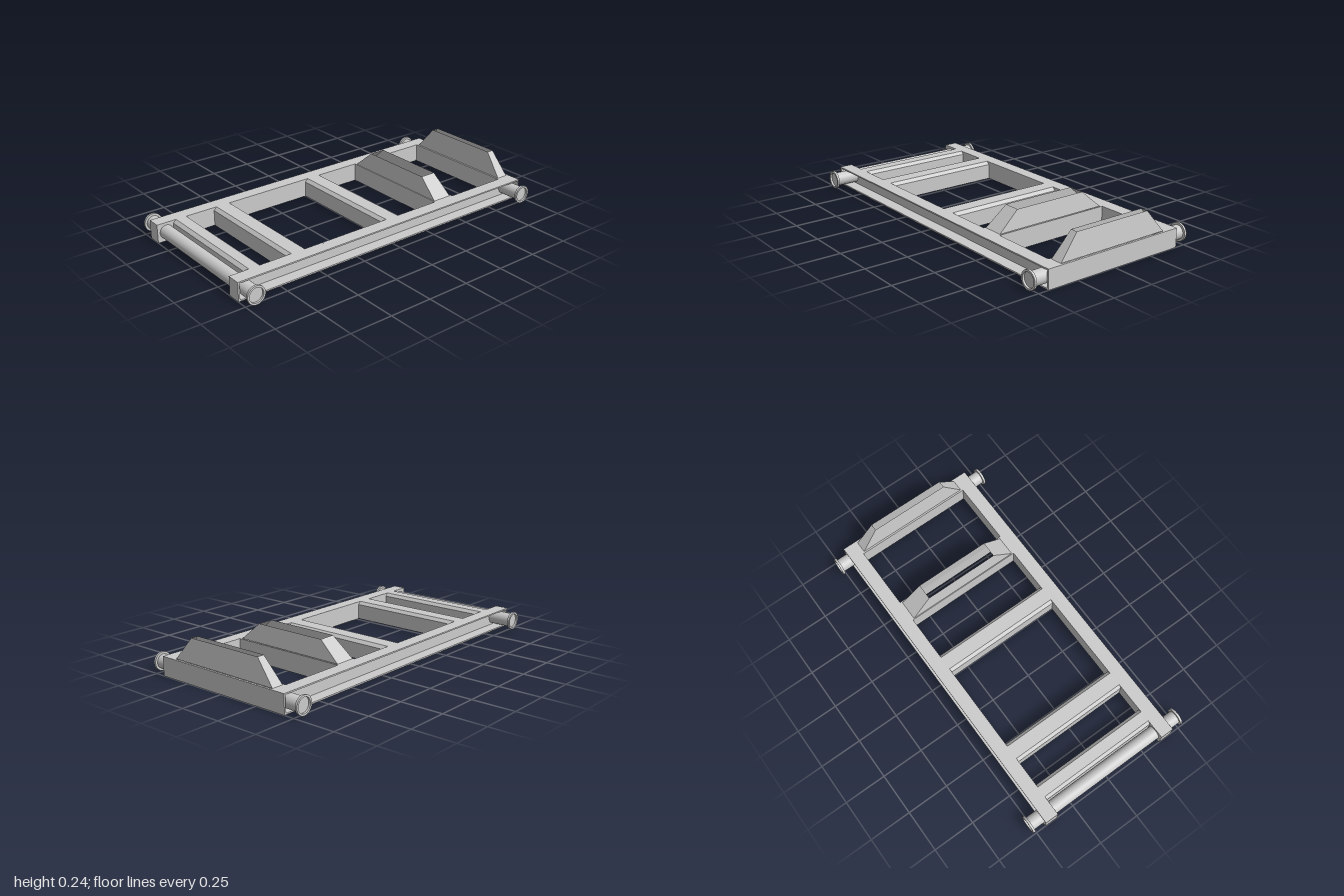
import * as THREE from 'three';

const material = new THREE.MeshStandardMaterial({ color: 0xcccccc, side: THREE.DoubleSide });
const sheetMaterial = new THREE.MeshStandardMaterial({ color: 0xcccccc, side: THREE.DoubleSide, flatShading: true });
const H = 0.11; // frame height

export function createModel() {
  const model = new THREE.Group();

  const add = (name, geometry, x = 0, y = 0, z = 0, mat = material) => {
    const mesh = new THREE.Mesh(geometry, mat);
    mesh.name = name;
    mesh.position.set(x, y, z);
    model.add(mesh);
    return mesh;
  };
  const box = (name, w, h, d, x, y, z) => add(name, new THREE.BoxGeometry(w, h, d), x, y, z);

  // Side rails: channels open to the outside, closed by end plates
  for (const [side, s] of [['left', 1], ['right', -1]]) {
    box(side + 'RailWeb', 0.01, H, 2, s * 0.365, H / 2, 0);
    box(side + 'RailTopFlange', 0.08, 0.008, 2, s * 0.4, H - 0.004, 0);
    box(side + 'RailBottomFlange', 0.08, 0.008, 2, s * 0.4, 0.004, 0);
    for (const e of [1, -1]) box(side + 'RailEndPlate', 0.08, H, 0.01, s * 0.4, H / 2, e * 0.995);
  }

  // Folded cross members: chamfered channels open at the bottom
  const crossMember = (name, z0, z1) => {
    const hw = (z1 - z0) / 2, c = 0.018, t = 0.007;
    const outer = [[-hw, 0], [-hw, H - c], [-hw + c, H], [hw - c, H], [hw, H - c], [hw, 0]];
    const inner = [[hw - t, 0], [hw - t, H - c - t / 2], [hw - c - t / 2, H - t],
      [-hw + c + t / 2, H - t], [-hw + t, H - c - t / 2], [-hw + t, 0]];
    const shape = new THREE.Shape([...outer, ...inner].map(p => new THREE.Vector2(...p)));
    const geometry = new THREE.ExtrudeGeometry(shape, { depth: 0.72, bevelEnabled: false });
    geometry.translate(0, 0, -0.36).rotateY(Math.PI / 2);
    add(name, geometry, 0, 0, (z0 + z1) / 2);
  };
  crossMember('middleCrossMember', -0.12, 0);
  crossMember('forwardCrossMember', 0.52, 0.64);
  crossMember('frontCrossMember', 0.8, 0.9);

  // Open box beams carrying the raised supports
  const rectangle = (P, hx, hz) => new P([[-hx, -hz], [hx, -hz], [hx, hz], [-hx, hz]]
    .map(p => new THREE.Vector2(...p)));
  const openBeam = (name, z0, z1, hx, hz) => {
    const shape = rectangle(THREE.Shape, 0.36, (z1 - z0) / 2);
    shape.holes.push(rectangle(THREE.Path, hx, hz));
    const geometry = new THREE.ExtrudeGeometry(shape, { depth: H, bevelEnabled: false });
    geometry.rotateX(-Math.PI / 2);
    add(name, geometry, 0, 0, (z0 + z1) / 2);
  };
  openBeam('rearBeam', -1, -0.905, 0.35, 0.035);
  openBeam('supportBeam', -0.52, -0.385, 0.35, 0.06);

  // Raised supports: tapered sleeves without top or bottom
  const sleeve = (name, z, base, top, height) => {
    const positions = [], indices = [];
    for (const [[hx, hz], y] of [[base, H], [top, height]]) {
      for (const [sx, sz] of [[-1, 1], [1, 1], [1, -1], [-1, -1]]) positions.push(sx * hx, y, sz * hz);
    }
    for (let i = 0; i < 4; i++) {
      const j = (i + 1) % 4;
      indices.push(i, j, j + 4, i, j + 4, i + 4);
    }
    let geometry = new THREE.BufferGeometry();
    geometry.setAttribute('position', new THREE.Float32BufferAttribute(positions, 3));
    geometry.setIndex(indices);
    geometry = geometry.toNonIndexed();
    geometry.computeVertexNormals();
    add(name, geometry, 0, 0, z, sheetMaterial);
  };
  sleeve('rearSupport', -0.95, [0.35, 0.035], [0.24, 0.021], 0.243);
  sleeve('middleSupport', -0.45, [0.35, 0.06], [0.226, 0.048], 0.217);

  // Front roller between the rails
  const roller = new THREE.CylinderGeometry(0.04, 0.04, 0.88, 32).rotateZ(Math.PI / 2);
  add('frontRoller', roller, 0, 0.055, 0.945);

  // Flanged bosses with a shallow recess at the four corners
  const flat = (points) => new THREE.LatheGeometry(points.map(p => new THREE.Vector2(...p)), 32);
  for (const s of [1, -1]) for (const z of [0.945, -0.945]) {
    const boss = new THREE.Group();
    boss.name = 'cornerBoss';
    const surfaces = [
      [[0.04, 0.36], [0.04, 0.507]],
      [[0.04, 0.507], [0.053, 0.507]],
      [[0.053, 0.507], [0.053, 0.52]],
      [[0.053, 0.52], [0.042, 0.52]],
      [[0.042, 0.52], [0.042, 0.508]],
      [[0.042, 0.508], [0, 0.508]],
    ];
    for (const points of surfaces) {
      const mesh = new THREE.Mesh(flat(points), material);
      mesh.name = 'bossSurface';
      boss.add(mesh);
    }
    boss.rotation.z = -s * Math.PI / 2;
    boss.position.set(0, 0.055, z);
    model.add(boss);
  }

  return model;
}
